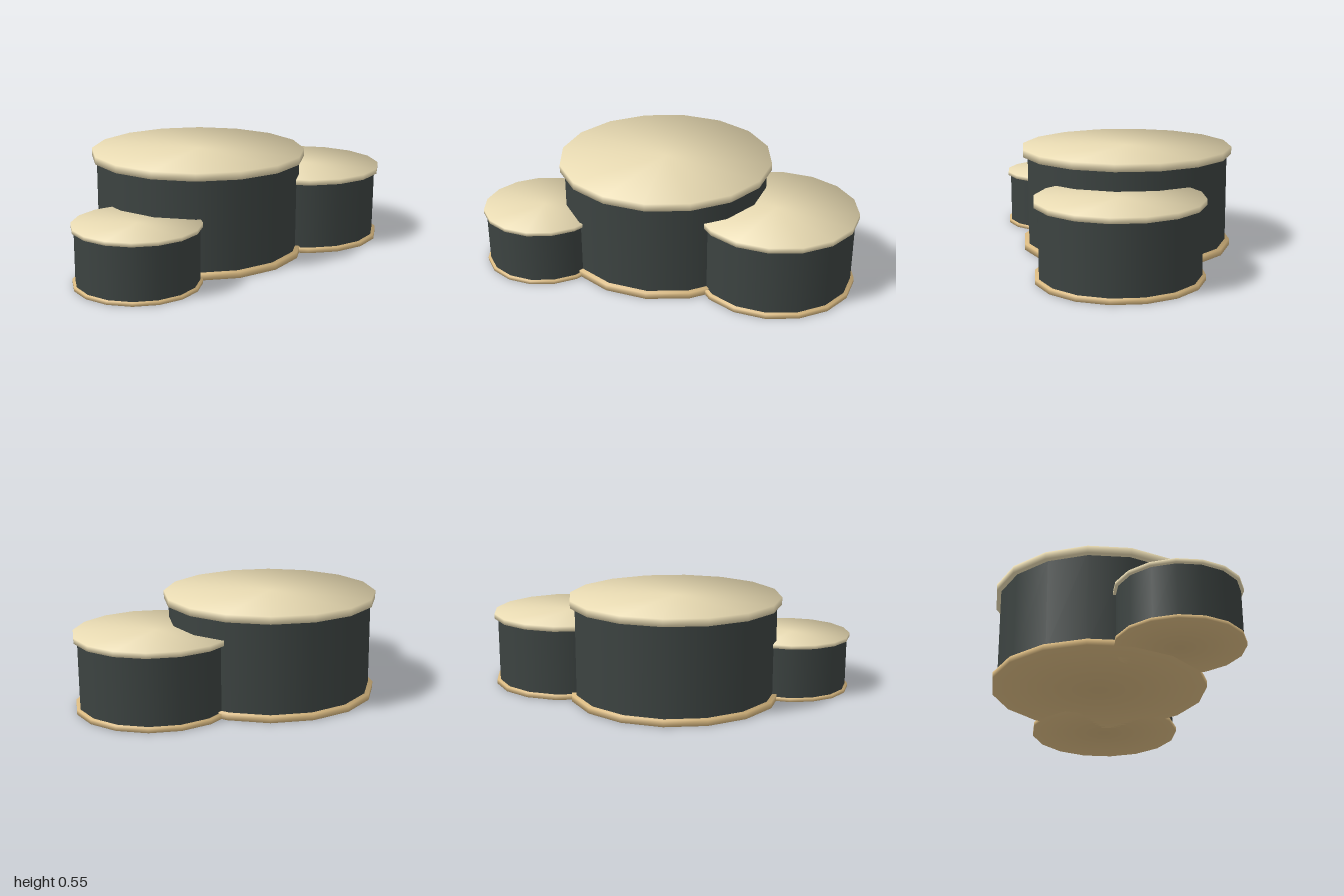
import * as THREE from 'three';

const SIDES = 16;
const material = (color) => new THREE.MeshStandardMaterial({ color });

// Flat disc whose rim is shaded softly: rim normals lean half outward, centre normals point straight up or down
function softDisc(radius, height) {
  const geo = new THREE.CylinderGeometry(radius, radius, height, SIDES);
  const pos = geo.attributes.position;
  const n = new THREE.Vector3();
  for (let i = 0; i < pos.count; i++) {
    n.set(pos.getX(i) / radius, Math.sign(pos.getY(i)), pos.getZ(i) / radius).normalize();
    geo.attributes.normal.setXYZ(i, n.x, n.y, n.z);
  }
  return geo;
}

export function createModel() {
  const model = new THREE.Group();
  model.name = 'drumPlatforms';

  const topMat = material(0xe8dab2);
  const baseMat = material(0xd8b880);
  const wallMat = material(0x3c4341);

  const add = (group, name, geo, mat, y) => {
    const mesh = new THREE.Mesh(geo, mat);
    mesh.name = name;
    mesh.position.y = y;
    group.add(mesh);
  };

  // Each drum: wall, overhanging top disc and base ring disc
  const drums = [
    { name: 'largeDrum', x: -0.05, z: -0.037, rim: 0.573, wall: 0.548, height: 0.55, top: 0.04, base: 0.033 },
    { name: 'mediumDrum', x: 0.573, z: 0.183, rim: 0.425, wall: 0.406, height: 0.406, top: 0.028, base: 0.025 },
    { name: 'smallDrum', x: -0.677, z: 0.182, rim: 0.324, wall: 0.31, height: 0.31, top: 0.02, base: 0.018 },
  ];

  for (const d of drums) {
    const group = new THREE.Group();
    group.name = d.name;
    group.position.set(d.x, 0, d.z);

    const wallStart = d.base / 2;
    const wallHeight = d.height - d.top / 2 - wallStart;
    add(group, 'wall', new THREE.CylinderGeometry(d.wall, d.wall, wallHeight, SIDES, 1, true),
      wallMat, wallStart + wallHeight / 2);
    add(group, 'topDisc', softDisc(d.rim, d.top), topMat, d.height - d.top / 2);
    add(group, 'baseDisc', softDisc(d.rim, d.base), baseMat, d.base / 2);

    model.add(group);
  }
  return model;
}
